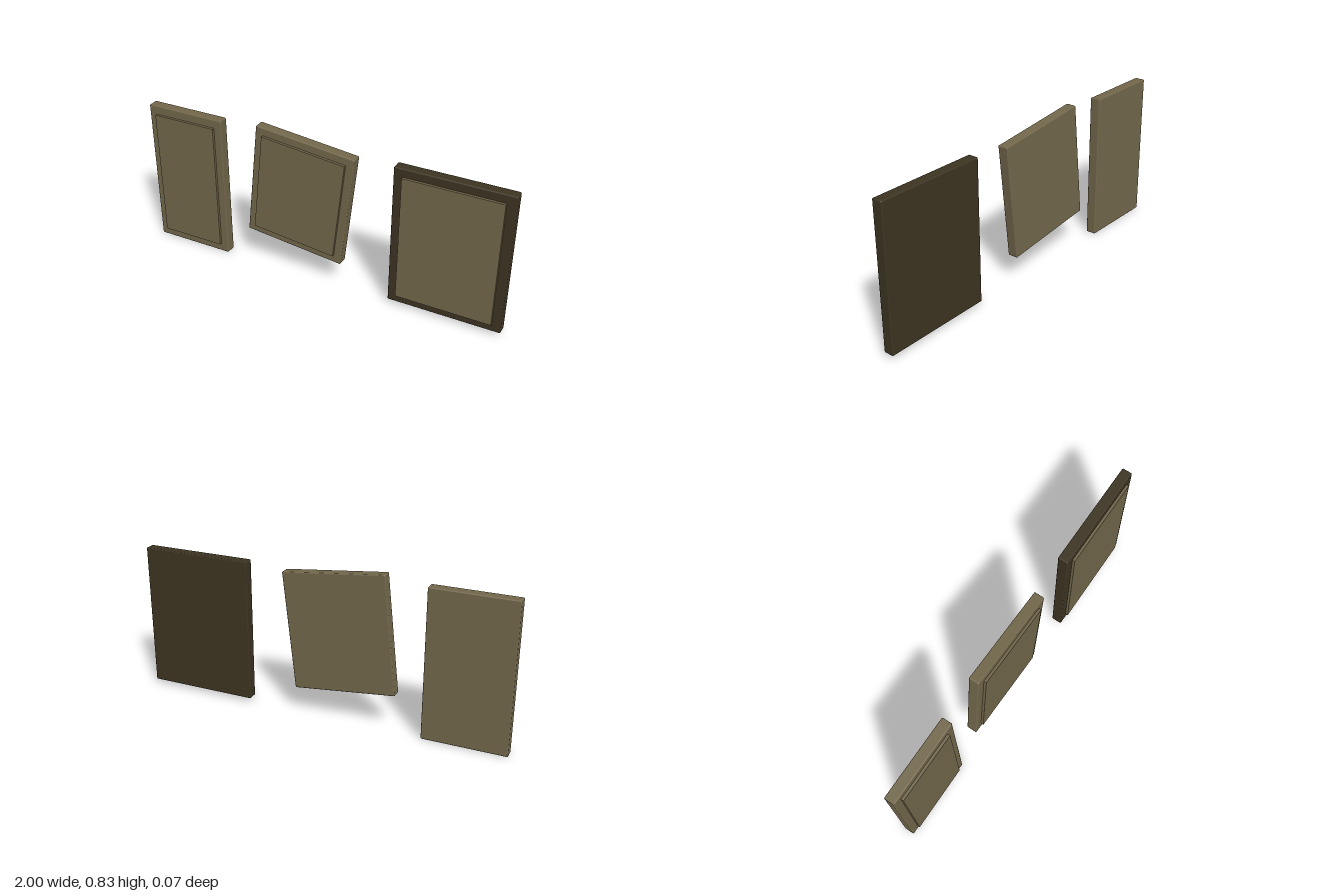
import * as THREE from 'three';
import { RoundedBoxGeometry } from 'three/addons/geometries/RoundedBoxGeometry.js';

const FRAME_BACK = -0.034, FRAME_FRONT = 0.022, PANEL_FRONT = 0.036;

export function createModel() {
  const group = new THREE.Group();
  group.name = 'wallPictures';

  const tan = new THREE.MeshStandardMaterial({ color: 0x72674b });
  tan.name = 'olive tan';
  const dark = new THREE.MeshStandardMaterial({ color: 0x3d3422 });
  dark.name = 'dark brown';

  // One picture: a softly rounded board with a raised panel on its front
  function addPicture(name, { x, y, tilt = 0, frame, panel, material }) {
    const picture = new THREE.Group();
    picture.name = name;
    picture.position.set(x, y, 0);
    picture.rotation.z = THREE.MathUtils.degToRad(tilt);

    const board = new THREE.Mesh(
      new RoundedBoxGeometry(frame[0], frame[1], FRAME_FRONT - FRAME_BACK, 2, 0.006), material);
    board.name = 'frame';
    board.position.z = (FRAME_FRONT + FRAME_BACK) / 2;

    const depth = PANEL_FRONT - FRAME_FRONT + 0.01;
    const canvas = new THREE.Mesh(new THREE.BoxGeometry(panel[0], panel[1], depth), tan);
    canvas.name = 'panel';
    canvas.position.z = PANEL_FRONT - depth / 2;

    picture.add(board, canvas);
    group.add(picture);
  }

  addPicture('rightPicture', {
    x: -0.779, y: 0.401, frame: [0.442, 0.802], panel: [0.358, 0.708], material: tan,
  });
  addPicture('tiltedPicture', {
    x: -0.108, y: 0.487, tilt: -6.3, frame: [0.55, 0.629], panel: [0.465, 0.543], material: tan,
  });
  addPicture('leftPicture', {
    x: 0.701, y: 0.406, frame: [0.598, 0.77], panel: [0.504, 0.682], material: dark,
  });

  return group;
}
